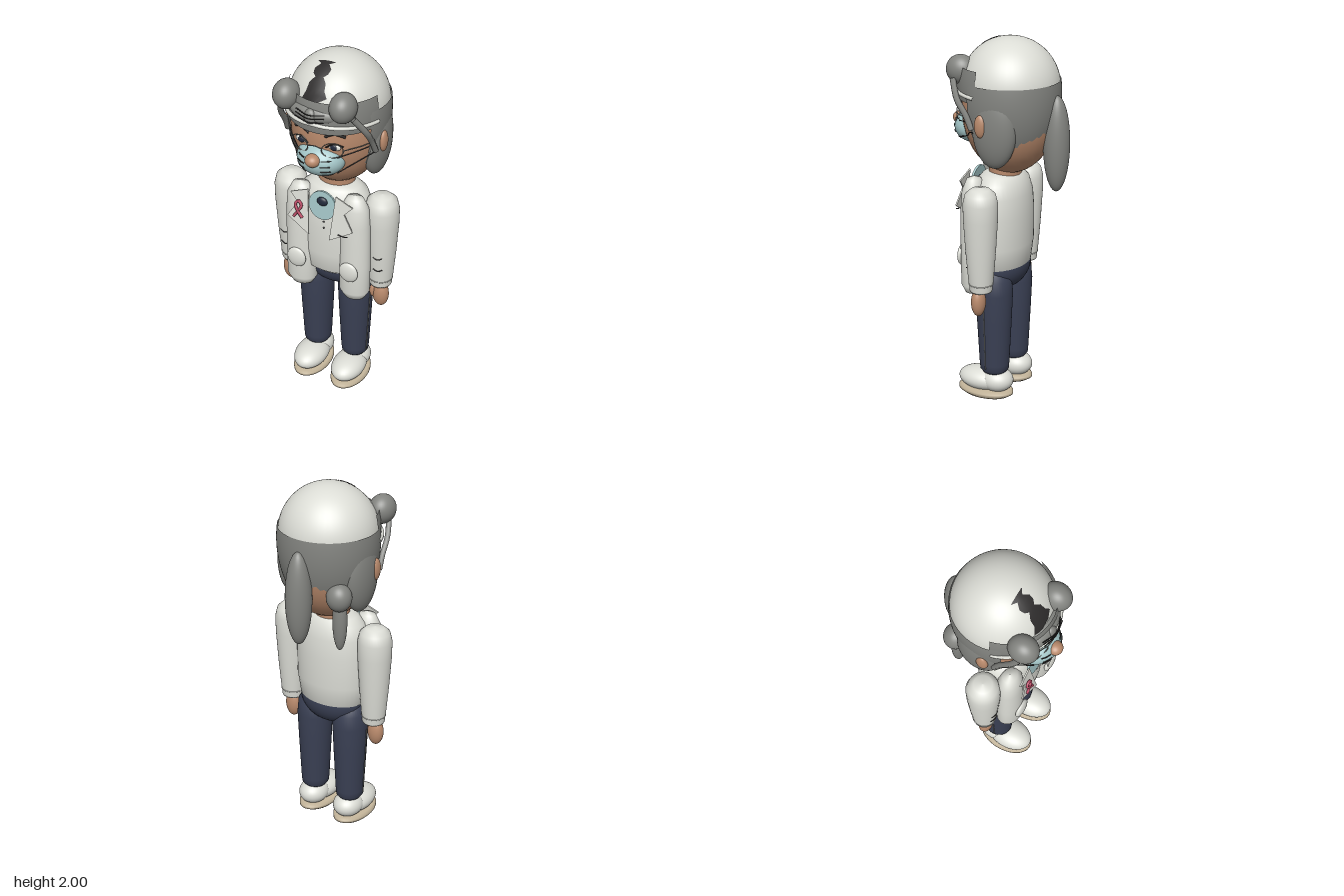
import * as THREE from 'three';

const mat = (name, color, side = THREE.FrontSide) => {
  const m = new THREE.MeshStandardMaterial({ color, side });
  m.name = name;
  return m;
};

export function createModel() {
  const model = new THREE.Group();
  model.name = 'figure';
  const white = mat('white cloth', 0xdcddd6, THREE.DoubleSide);
  const gray = mat('gray hair', 0x838480, THREE.DoubleSide);
  const skin = mat('skin', 0xb98a6c);
  const navy = mat('navy trousers', 0x3a4054);
  const teal = mat('pale teal', 0xa3c5c7);
  const tan = mat('tan sole', 0xc6b79c);
  const pink = mat('pink ribbon', 0xc4536e);
  const dark = mat('dark line', 0x2d2b2b, THREE.DoubleSide);
  const iris = mat('blue black', 0x222a3c);

  const add = (name, geo, material, pos = [0, 0, 0], scale = [1, 1, 1], parent = model) => {
    const m = new THREE.Mesh(geo, material);
    m.name = name;
    m.position.set(...pos);
    m.scale.set(...scale);
    parent.add(m);
    return m;
  };
  const unit = new THREE.SphereGeometry(1, 36, 24);
  const ball = (name, material, pos, radii) => add(name, unit, material, pos, radii);
  const lathe = (name, material, profile, pos, scale) => add(name,
    new THREE.LatheGeometry(profile.map(([r, y]) => new THREE.Vector2(r, y)), 40), material, pos, scale);
  const tube = (name, material, pts, r) => add(name, new THREE.TubeGeometry(
    new THREE.CatmullRomCurve3(pts.map(p => new THREE.Vector3(...p))), 24, r, 6), material);
  // Front of an ellipsoid at x, y, used to lay details on curved surfaces
  const frontZ = (x, y, [cx, cy, cz], [rx, ry, rz]) =>
    cz + rz * Math.sqrt(Math.max(0, 1 - ((x - cx) / rx) ** 2 - ((y - cy) / ry) ** 2));
  const headC = [0, 1.62, 0], headR = [0.25, 0.345, 0.255];
  const maskC = [0, 1.505, 0.2], maskR = [0.13, 0.092, 0.115];
  const onFace = (x, y, lift = 0.004) => [x, y, frontZ(x, y, headC, headR) + lift];
  const onMask = (x, y) => [x, y, frontZ(x, y, maskC, maskR) + 0.001];

  // Head, cap and hair shell
  ball('head', skin, headC, headR);
  lathe('neck', skin, [[0.1, 1.2], [0.1, 1.34]], [0, 0, 0.03], [1, 1, 0.85]);
  add('cap', new THREE.SphereGeometry(0.262, 48, 24, 0, Math.PI * 2, 0, 1.62), white, [0, 1.738, 0]);
  add('backHair', new THREE.SphereGeometry(1, 48, 20, Math.PI - 0.5, Math.PI + 1, 1.38, 0.9),
    gray, [0, 1.7, 0], [0.27, 0.42, 0.268]);
  add('fringe', new THREE.SphereGeometry(1, 40, 10, 0.25, Math.PI - 0.5, 1.25, 0.48),
    gray, [0, 1.74, 0.005], [0.262, 0.36, 0.275]);
  ball('topKnot', gray, [-0.02, 1.775, 0.225], [0.14, 0.055, 0.068]);
  ball('knotCentre', gray, [-0.02, 1.77, 0.275], [0.035, 0.045, 0.028]);
  ball('rightBun', gray, [-0.183, 1.83, 0.22], [0.069, 0.078, 0.08]);
  ball('leftBun', gray, [0.13, 1.83, 0.22], [0.069, 0.078, 0.08]);
  ball('ponytail', gray, [0, 1.46, -0.268], [0.07, 0.257, 0.07]);
  ball('sideBun', gray, [-0.18, 1.475, -0.168], [0.068, 0.075, 0.065]);
  ball('sideTail', gray, [-0.18, 1.34, -0.16], [0.04, 0.165, 0.035]);
  const band = [];
  for (let i = 0; i <= 12; i++) {
    const a = -1.3 + i * 2.6 / 12;
    band.push([0.266 * Math.sin(a), 1.735 - 0.015 * Math.abs(a), 0.004 + 0.283 * Math.cos(a)]);
  }
  tube('headband', white, band, 0.011);
  for (let i = 0; i < 3; i++) {
    tube('knotStrand', dark, [[-0.1, 1.8 - i * 0.018, 0.277 + i * 0.006], [-0.02, 1.795 - i * 0.02, 0.306],
      [0.06, 1.8 - i * 0.018, 0.283 + i * 0.006]], 0.003);
  }

  // Dark patch lying on the front of the cap, built from cross-sections
  const rows = [[0.085, 0.05], [0.105, 0.022], [0.13, 0.045], [0.155, 0.04], [0.17, 0.022],
    [0.19, 0.045], [0.215, 0.05], [0.23, 0.07], [0.245, 0.03]];
  const verts = [], faces = [];
  rows.forEach(([z, w], j) => {
    for (let i = 0; i <= 4; i++) {
      const x = -0.025 + w * (i / 2 - 1);
      verts.push(x, 1.738 + Math.sqrt(Math.max(0, 0.265 ** 2 - x * x - z * z)), z);
      if (j && i) {
        const a = j * 5 + i;
        faces.push(a - 6, a - 1, a - 5, a - 5, a - 1, a);
      }
    }
  });
  const patch = new THREE.BufferGeometry();
  patch.setAttribute('position', new THREE.Float32BufferAttribute(verts, 3));
  patch.setIndex(faces);
  patch.computeVertexNormals();
  add('capPatch', patch, dark);

  // Mask, nose and mouth
  ball('mask', teal, maskC, maskR);
  ball('nose', skin, [0, 1.535, 0.3], [0.04, 0.034, 0.04]);
  tube('mouthLine', dark, [onFace(-0.06, 1.41), onFace(0, 1.4), onFace(0.06, 1.41)], 0.004);

  // Torso, hips and collar
  lathe('torso', white, [[0, 0.735], [0.15, 0.735], [0.195, 0.765], [0.213, 0.88], [0.215, 1.05], [0.205, 1.16],
    [0.18, 1.23], [0.14, 1.265], [0.1, 1.283], [0, 1.283]], [0, 0, 0.045], [1, 1, 0.72]);
  ball('hips', navy, [0, 0.755, 0.03], [0.185, 0.14, 0.125]);
  const disc = new THREE.CylinderGeometry(1, 1, 1, 32).rotateX(Math.PI / 2);
  add('collarDisc', disc, teal, [0, 1.2, 0.196], [0.078, 0.082, 0.012]).rotation.x = -0.12;
  ball('collarStone', iris, [0, 1.225, 0.2], [0.03, 0.026, 0.014]);
  for (const y of [1.1, 1.06, 1.14]) ball('shirtButton', dark, [0.008, y, 0.201], [0.005, 0.005, 0.005]);

  const lapel = new THREE.Shape([[0.08, 0], [0.18, -0.04], [0.135, -0.09], [0.19, -0.18], [0.06, -0.26]]
    .map(p => new THREE.Vector2(...p)));
  const lapelGeo = new THREE.ExtrudeGeometry(lapel, { depth: 0.008, bevelEnabled: false });

  // Everything mirrored left and right
  for (const s of [-1, 1]) {
    ball('sideHair', gray, [s * 0.205, 1.57, -0.012], [0.072, 0.222, 0.125]);
    ball('ear', skin, [s * 0.267, 1.58, 0.037], [0.02, 0.06, 0.033]);
    const root = s < 0 ? -0.215 : 0.19;
    tube('frontLock', gray, [[root, 1.79, 0.235], [s * 0.238, 1.7, 0.185], [s * 0.245, 1.62, 0.13],
      [s * 0.25, 1.55, 0.095]], 0.016);

    // Eye, brow and wire glasses
    const eye = onFace(s * 0.09, 1.605, 0);
    ball('eyeWhite', white, eye, [0.036, 0.019, 0.012]);
    ball('iris', iris, [eye[0], eye[1], eye[2] + 0.009], [0.018, 0.017, 0.007]);
    tube('upperLid', dark, [onFace(s * 0.05, 1.6), onFace(s * 0.09, 1.626, 0.009), onFace(s * 0.132, 1.606)], 0.004);
    tube('eyebrow', dark, [onFace(s * 0.045, 1.66), onFace(s * 0.09, 1.678), onFace(s * 0.14, 1.66)], 0.007);
    const rim = add('glassesRim', new THREE.TorusGeometry(0.055, 0.003, 6, 32), gray,
      [eye[0], 1.595, eye[2] + 0.022], [1, 0.75, 1]);
    rim.rotation.y = s * 0.35;
    tube('glassesArm', gray, [[s * 0.142, 1.6, 0.245], [s * 0.2, 1.6, 0.17], [s * 0.265, 1.6, 0.04]], 0.003);

    // Mask straps and pleats
    for (const [y, y2] of [[1.55, 1.59], [1.46, 1.54]]) {
      tube('maskStrap', dark, [[s * 0.11, y, 0.245], onFace(s * 0.17, y + (y2 - y) * 0.4, 0.005),
        [s * 0.228, y2 - 0.01, 0.115], [s * 0.265, y2, 0.04]], 0.003);
    }
    for (const y of [1.54, 1.51, 1.48, 1.45]) {
      tube('maskPleat', dark, [0.045, 0.068, 0.09].map(x => onMask(s * x, y)), 0.0035);
    }

    // Jacket front, pocket and lapel
    lathe('jacketFront', white, [[0, 0.615], [0.06, 0.625], [0.085, 0.67], [0.087, 0.85], [0.084, 1.1],
      [0.075, 1.2], [0.045, 1.26], [0, 1.275]], [s * 0.158, 0, 0.135], [1, 1, 0.8]);
    ball('pocket', white, [s * 0.155, 0.82, 0.207], [0.055, 0.06, 0.02]);
    const flap = add('lapel', lapelGeo, white, [0, 1.28, 0.197], [s, 1, 1]);
    flap.rotation.x = -0.15;

    // Sleeve, cuff and hand
    lathe('sleeve', white, [[0, 0.68], [0.058, 0.68], [0.062, 0.69], [0.062, 0.715], [0.066, 0.73], [0.08, 0.9],
      [0.091, 1.08], [0.092, 1.17], [0.08, 1.22], [0.05, 1.247], [0, 1.255]], [s * 0.268, 0, 0.038], [1, 1, 1])
      .rotation.z = 0;
    add('cuffSeam', new THREE.TorusGeometry(0.064, 0.003, 6, 32).rotateX(Math.PI / 2), white, [s * 0.268, 0.722, 0.038]);
    for (const y of [0.81, 0.89]) {
      tube('sleeveCrease', dark, [[s * 0.255, y + 0.004, 0.112 + (y - 0.81) * 0.06],
        [s * 0.28, y - 0.005, 0.112 + (y - 0.81) * 0.06], [s * 0.305, y + 0.004, 0.104 + (y - 0.81) * 0.06]], 0.003);
    }
    ball('hand', skin, [s * 0.275, 0.615, 0.05], [0.046, 0.08, 0.038]);
    ball('thumb', skin, [s * 0.235, 0.63, 0.065], [0.018, 0.04, 0.018]);

    // Leg with side seam
    lathe('trouserLeg', navy, [[0, 0.145], [0.06, 0.145], [0.075, 0.165], [0.078, 0.2], [0.09, 0.45],
      [0.097, 0.62], [0.09, 0.7], [0.06, 0.76], [0, 0.78]], [s * 0.118, 0, 0.038], [1, 1, 1.06]);
    tube('sideSeam', gray, [[s * 0.195, 0.18, 0.055], [s * 0.207, 0.45, 0.055], [s * 0.214, 0.6, 0.055]], 0.003);

    // Shoe and sole
    ball('shoeToe', white, [s * 0.118, 0.088, 0.115], [0.092, 0.065, 0.137]);
    ball('shoeHeel', white, [s * 0.118, 0.095, 0.025], [0.083, 0.068, 0.095]);
    lathe('sole', tan, [[0, 0], [0.085, 0.002], [0.1, 0.018], [0.1, 0.032], [0.09, 0.045], [0, 0.045]],
      [s * 0.118, 0, 0.092], [1, 1, 1.62]);
  }
  tube('glassesBridge', gray, [[-0.04, 1.6, 0.275], [0, 1.61, 0.28], [0.04, 1.6, 0.275]], 0.003);

  // Looped ribbon on the right lapel and pen marks on the left
  tube('ribbon', pink, [[-0.15, 1.11, 0.236], [-0.125, 1.15, 0.234], [-0.107, 1.185, 0.23], [-0.125, 1.207, 0.226],
    [-0.143, 1.185, 0.23], [-0.125, 1.15, 0.237], [-0.1, 1.115, 0.238]], 0.008);
  tube('pen', dark, [[0.11, 1.075, 0.24], [0.14, 1.07, 0.24], [0.165, 1.075, 0.24]], 0.003);
  return model;
}
